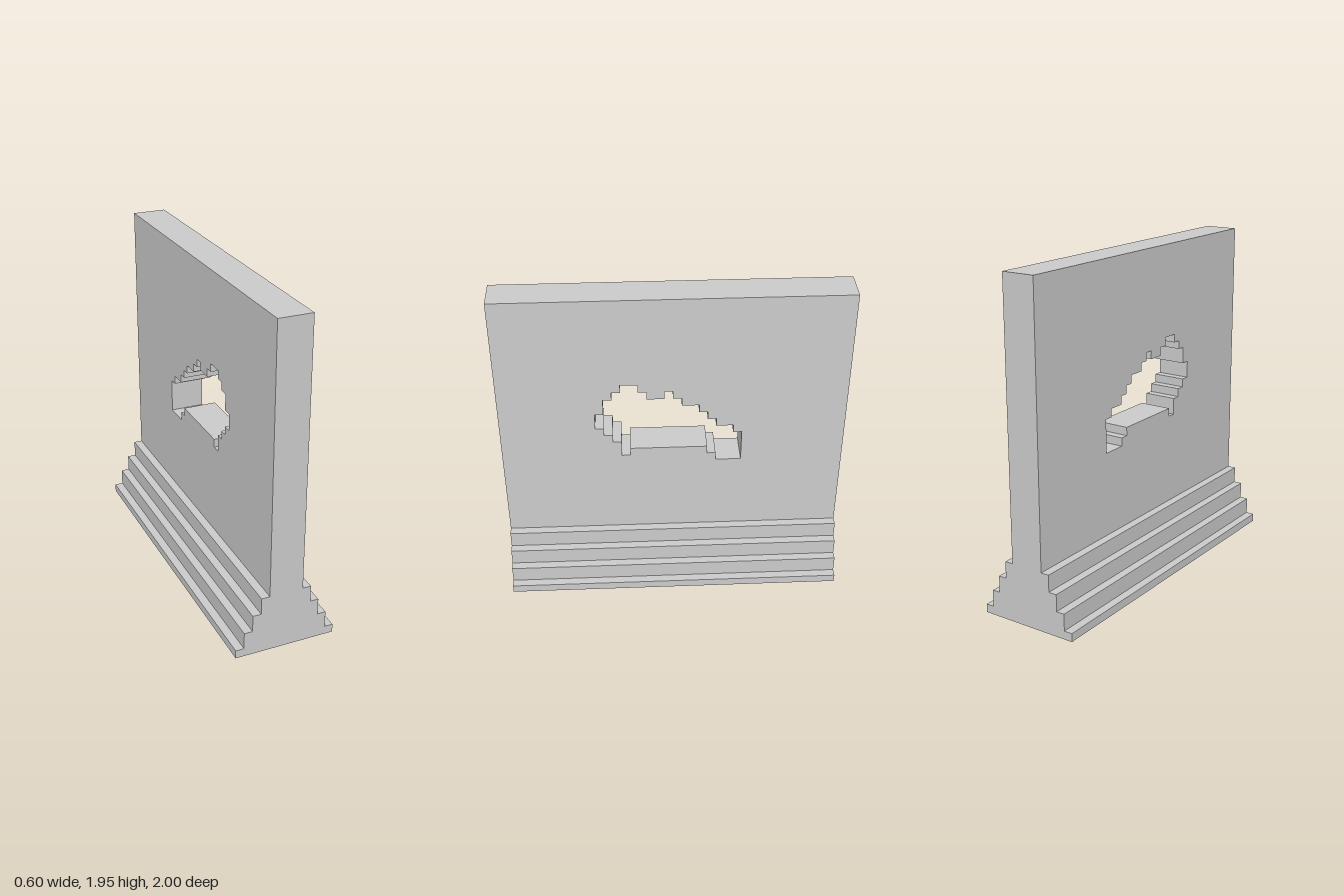
import * as THREE from 'three';

const STEP = 0.05; // every edge sits on this grid
const LENGTH = 2;
const WALL = { thickness: 0.2, bottom: 0.35, top: 1.95 };

const toPoints = (pairs) => pairs.map(([x, y]) => new THREE.Vector2(x, y));

// Stepped outline from a start point and alternating moves along z and y, in grid units
function steppedOutline(z, y, moves) {
  const points = [[-z * STEP, y * STEP]];
  moves.forEach((move, i) => {
    if (i % 2 === 0) z += move; else y += move;
    points.push([-z * STEP, y * STEP]);
  });
  return toPoints(points);
}

export function createModel() {
  const group = new THREE.Group();
  group.name = 'piercedWall';
  const material = new THREE.MeshStandardMaterial({ color: 0xcccccc, flatShading: true });

  function addExtrusion(name, shape, depth) {
    const geometry = new THREE.ExtrudeGeometry(shape, { depth, bevelEnabled: false });
    geometry.translate(0, 0, -depth / 2);
    const mesh = new THREE.Mesh(geometry, material);
    mesh.name = name;
    group.add(mesh);
    return mesh;
  }

  // Base: four steps up each side, mirrored into one profile
  const side = [];
  const heights = [0, 0.05, 0.15, 0.25, WALL.bottom];
  for (let i = 0; i < 4; i++) {
    const half = 0.3 - i * STEP;
    side.push([half, heights[i]], [half, heights[i + 1]]);
  }
  const mirrored = side.map(([x, y]) => [-x, y]).reverse();
  addExtrusion('steppedBase', new THREE.Shape(toPoints([...side, ...mirrored])), LENGTH);

  // Wall: upright slab with a ragged hole through it
  const half = LENGTH / 2;
  const slab = new THREE.Shape(toPoints([
    [-half, WALL.bottom], [half, WALL.bottom], [half, WALL.top], [-half, WALL.top],
  ]));
  slab.holes.push(new THREE.Path(steppedOutline(9, 22, [
    0, 2, -1, 2, -1, 1, -1, 1, // rising front edge
    -2, -1, -1, -1, -2, 1, -1, -1, // crest and small notch
    -1, -1, -2, -1, -1, -1, -1, -1, -2, -1, -1, -4, // descending roof and rear edge
    3, 1, 1, 1, 9, -1, 1, 2, 1, 1, 1, 1, // floor with its two notches
  ])));
  const wall = addExtrusion('wall', slab, WALL.thickness);
  wall.rotation.y = Math.PI / 2;

  return group;
}
